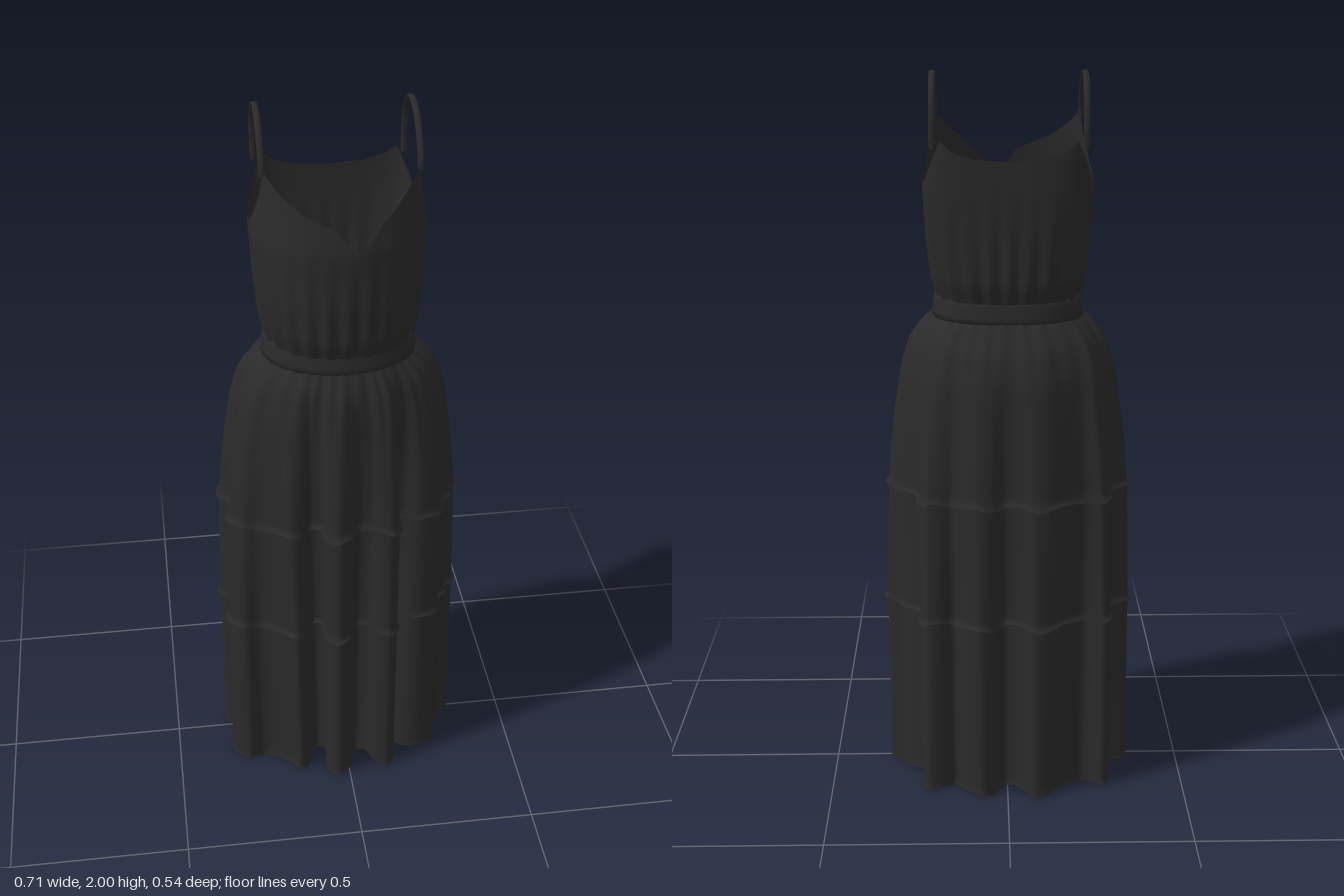
import * as THREE from 'three';
import { mergeVertices } from 'three/addons/utils/BufferGeometryUtils.js';

const black = new THREE.MeshStandardMaterial({ color: 0x2a2a2a, side: THREE.DoubleSide });
black.name = 'black fabric';

// Linear lookup in rows of [key, value, value, ...], keys ascending
function lookup(rows, key) {
  if (key <= rows[0][0]) return rows[0].slice(1);
  for (let i = 1; i < rows.length; i++) {
    const a = rows[i - 1], b = rows[i];
    if (key <= b[0]) {
      const t = (key - a[0]) / (b[0] - a[0]);
      return a.slice(1).map((v, k) => v + (b[k + 1] - v) * t);
    }
  }
  return rows[rows.length - 1].slice(1);
}

// Sheet from a rule: u runs round from the front towards +x, v runs upwards
function sheet(name, cols, rows, rule) {
  const pos = [], index = [];
  for (let j = 0; j <= rows; j++)
    for (let i = 0; i <= cols; i++) pos.push(...rule(i / cols, j / rows));
  for (let j = 0; j < rows; j++)
    for (let i = 0; i < cols; i++) {
      const a = j * (cols + 1) + i, c = a + cols + 1;
      index.push(a, a + 1, c, a + 1, c + 1, c);
    }
  let g = new THREE.BufferGeometry();
  g.setAttribute('position', new THREE.Float32BufferAttribute(pos, 3));
  g.setIndex(index);
  g = mergeVertices(g, 1e-5);
  g.computeVertexNormals();
  const mesh = new THREE.Mesh(g, black);
  mesh.name = name;
  return mesh;
}

// Oval radius along a direction, squarer behind when n is above 2
function ovalRadius(s, c, a, b, nBack) {
  const n = c < 0 ? nBack : 2.1;
  return Math.pow(Math.pow(Math.abs(s) / a, n) + Math.pow(Math.abs(c) / b, n), -1 / n);
}

// Plan of the hem folds, x and z pairs, starting at the front
const HEM = [
  -.03, .265, .01, .235, .03, .16, .06, .17, .08, .22, .12, .24, .145, .2, .1, .11, .13, .12,
  .18, .17, .22, .175, .27, .145, .265, .1, .3, .07, .29, .04, .335, .02, .345, -.01, .3, -.04,
  .28, -.08, .225, -.13, .245, -.17, .23, -.215, .19, -.21, .15, -.185, .12, -.225, .08, -.26,
  .05, -.25, .01, -.2, -.03, -.22, -.07, -.265, -.11, -.255, -.15, -.21, -.21, -.165, -.27, -.2,
  -.285, -.16, -.25, -.1, -.29, -.07, -.34, -.05, -.345, -.02, -.3, .02, -.29, .05, -.33, .08,
  -.33, .12, -.29, .16, -.24, .145, -.18, .18, -.14, .225, -.11, .205, -.085, .14, -.06, .15, -.06, .23,
];
const N = 300;

function hemPlan() {
  const pts = [];
  for (let i = 0; i < HEM.length; i += 2) pts.push(new THREE.Vector3(HEM[i], 0, HEM[i + 1]));
  const curve = new THREE.CatmullRomCurve3(pts, true);
  const fold = [];
  for (let i = 0; i < N; i++) fold.push(curve.getPoint(i / N));
  // Smoothed directions match each fold point to the plain oval
  return fold.map((p, i) => {
    const d = new THREE.Vector3();
    for (let k = -12; k <= 12; k++) d.add(fold[(i + k + N) % N]);
    d.normalize();
    return { p, s: d.x, c: d.z };
  });
}

// Skirt: y, half width, half depth, z centre, fold strength
const SKIRT = [
  [0, .335, .25, 0, 1], [.5, .335, .25, 0, .82], [.86, .322, .248, 0, .55],
  [1, .308, .238, .004, .42], [1.2, .28, .22, .006, .22], [1.28, .258, .2, .013, .12],
  [1.32, .235, .18, .018, .05], [1.345, .208, .165, .02, 0],
];

function skirtTier(name, plan, y0, y1, lip) {
  return sheet(name, N, 28, (u, v) => {
    const i = Math.round(u * N) % N, { p, s, c } = plan[i];
    const t = v * v * .4 + v * .6;
    const edge = Math.max(0, 1 - t * (y1 - y0) / .018);
    const y = y0 + (y1 - y0) * t;
    const [a, b, zc, w] = lookup(SKIRT, y);
    const wave = Math.sin(i / N * Math.PI * 2 * 31);
    const gather = .003 * wave * Math.max(0, 1 - Math.abs(y - 1.28) / .2);
    const r = ovalRadius(s, c, a, b, 2.1) + gather;
    const out = edge * lip;
    return [
      -.004 + r * s * (1 - w) + p.x * w + s * out,
      y + edge * .005 * (1 + Math.sin(i / N * Math.PI * 2 * 17)),
      (zc + r * c) * (1 - w) + p.z * w + c * out,
    ];
  });
}

// Bodice: y, half width, half depth, z centre, squareness of the back
const BODICE = [
  [1.4, .198, .168, .022, 2.4], [1.45, .208, .186, .022, 2.6], [1.55, .22, .194, .024, 3],
  [1.7, .229, .196, .022, 4], [1.8, .217, .187, .014, 5], [1.88, .213, .178, .012, 5],
];
const RAD = Math.PI / 180;

function bodicePoint(deg, y, offset) {
  const [a, b, zc, n] = lookup(BODICE, y);
  const s = Math.sin(deg * RAD), c = Math.cos(deg * RAD);
  const gather = .004 * Math.cos(deg * RAD * 24) * Math.max(0, 1 - Math.abs(y - 1.47) / .25);
  const r = ovalRadius(s, c, a, b, n) + gather + offset;
  return [-.005 + s * r, y, zc + c * r];
}

// Upper edges by angle: wrap neckline, then armhole and back
const NECK = [[-68, 1.88], [-50, 1.835], [-33, 1.8], [-8, 1.765], [7, 1.69], [27, 1.77], [45, 1.82], [68, 1.88]];
const SIDE = [
  [68, 1.88], [74, 1.8], [82, 1.75], [95, 1.715], [108, 1.7], [120, 1.73],
  [129, 1.79], [133, 1.83], [142, 1.8], [155, 1.785], [180, 1.78],
];
const WRAP = [[-68, 1.88], [-50, 1.835], [-33, 1.8], [-8, 1.765], [7, 1.69], [30, 1.54], [50, 1.405]];

export function createModel() {
  const dress = new THREE.Group();
  dress.name = 'dress';

  // Three overlapping skirt tiers
  const plan = hemPlan();
  dress.add(
    skirtTier('lowerTier', plan, 0, .52, .003),
    skirtTier('middleTier', plan, .505, .87, .009),
    skirtTier('upperTier', plan, .855, 1.347, .009),
  );

  // Waistband with turned-in edges
  const band = [[.195, 1.342], [.207, 1.345], [.207, 1.36], [.203, 1.39], [.201, 1.404], [.19, 1.408]];
  dress.add(sheet('waistband', 96, band.length - 1, (u, v) => {
    const [r, y] = band[Math.round(v * (band.length - 1))];
    const s = Math.sin(u * Math.PI * 2), c = Math.cos(u * Math.PI * 2);
    const k = ovalRadius(s, c, r, r - .04, 2.4);
    return [-.005 + s * k, y, .02 + c * k];
  }));

  // Bodice shell
  dress.add(sheet('bodice', 240, 24, (u, v) => {
    const deg = u * 360 - 180;
    const top = Math.abs(deg) <= 68 ? lookup(NECK, deg)[0] : lookup(SIDE, Math.abs(deg))[0];
    return bodicePoint(deg, 1.4 + (top - 1.4) * v, 0);
  }));

  // Crossing front panel
  dress.add(sheet('wrapPanel', 90, 24, (u, v) => {
    const deg = -68 + 118 * u;
    const top = lookup(WRAP, deg)[0];
    return bodicePoint(deg, 1.4 + (top - 1.4) * v, .008 * Math.min(1, u * 3));
  }));

  // Shoulder straps
  const path = new THREE.CatmullRomCurve3([
    [1.865, .09], [1.89, .085], [1.94, .056], [1.983, .005], [1.996, -.05],
    [1.983, -.1], [1.935, -.142], [1.87, -.158], [1.81, -.158],
  ].map(([y, z]) => new THREE.Vector3(0, y, z)));
  for (const [name, x] of [['leftStrap', .193], ['rightStrap', -.204]]) {
    const g = new THREE.TubeGeometry(path, 48, .0045, 8);
    g.scale(1.9, 1, 1);
    const strap = new THREE.Mesh(g, black);
    strap.name = name;
    strap.position.x = x;
    dress.add(strap);
  }
  return dress;
}
